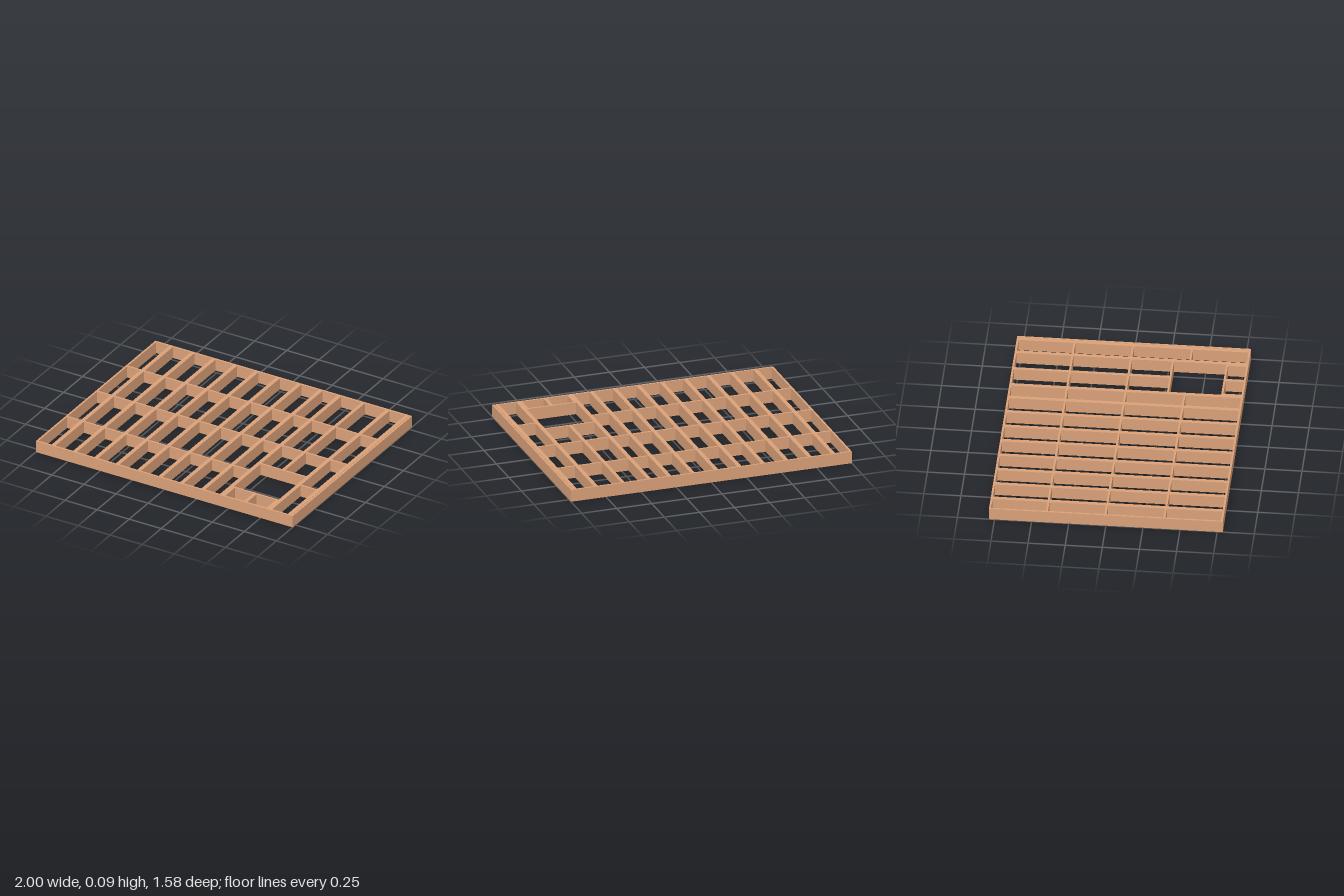
import * as THREE from 'three';

export function createModel() {
  const floor = new THREE.Group();
  floor.name = 'floorFrame';
  const wood = new THREE.MeshStandardMaterial({ color: 0xd9a078, flatShading: true });
  const H = 0.085, X = 1, Z = 0.788, T = 0.014, W = 0.029;

  // A full-height board filling a rectangle of the plan
  function board(name, x0, x1, z0, z1) {
    const mesh = new THREE.Mesh(new THREE.BoxGeometry(x1 - x0, H, z1 - z0), wood);
    mesh.position.set((x0 + x1) / 2, H / 2, (z0 + z1) / 2);
    mesh.name = name;
    floor.add(mesh);
  }

  // Rim boards
  board('backRim', -X, X, -Z, -Z + T);
  board('frontRim', -X, X, Z - T, Z);
  board('rightRim', -X, -X + T, -Z + T, Z - T);
  board('leftRim', X - T, X, -Z + T, Z - T);

  // Joists run front to back; one is interrupted by the stair opening
  const zIn = Z - T;
  const openBack = 0.28, openFront = 0.645; // header centre lines
  const joists = [-0.87, -0.703, -0.537, -0.37, -0.203, -0.037, 0.13, 0.296, 0.441, 0.627, 0.819, 0.969];
  const cut = 9;
  joists.forEach((x, i) => {
    const a = x - W / 2, b = x + W / 2;
    if (i === cut) {
      board('shortJoist', a + 0.002, b - 0.002, -zIn, openBack - T / 2);
      board('stubJoist', a + 0.002, b - 0.002, openFront + T / 2, zIn);
    } else board('joist', a, b, -zIn, zIn);
  });

  // Headers and trimmers around the opening
  const left = joists[cut - 1] + W / 2, right = joists[cut + 1] - W / 2;
  for (const z of [openBack, openFront]) board('header', left, right, z - T / 2, z + T / 2);
  board('trimmer', left, left + T, openFront + T / 2, zIn);
  board('trimmer', right - T, right, openFront + T / 2, zIn);

  // Three rows of blocking between neighbouring joists
  for (const z of [-0.398, -0.003, 0.394]) {
    let from = -X + T;
    joists.forEach((x, i) => {
      const inOpening = z > openBack && (i === cut || i === cut + 1);
      if (!inOpening) board('blocking', from, x - W / 2, z - T / 2, z + T / 2);
      from = x + W / 2;
    });
  }
  return floor;
}
